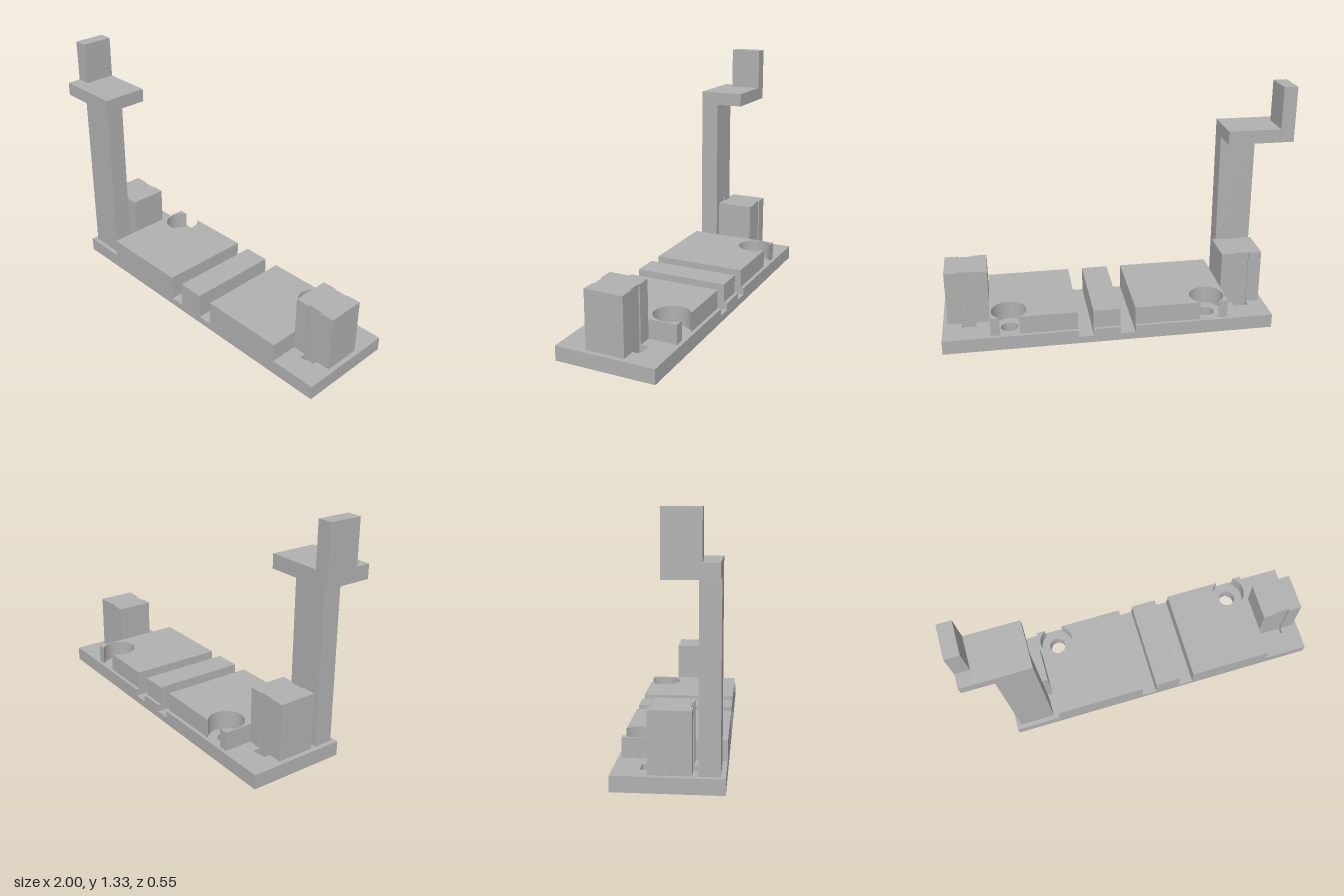
import * as THREE from 'three';

const HOLES = [-0.49, 0.63];        // screw hole centres in x
const HOLE_Z = -0.174;
const SLOTS = [[-0.753, -0.673], [0.812, 0.892]]; // clip slots in x

export function createModel() {
  const group = new THREE.Group();
  const grey = new THREE.MeshStandardMaterial({ color: 0xb0b0b0 });
  grey.name = 'grey plastic';

  const add = (name, geometry) => {
    const mesh = new THREE.Mesh(geometry, grey);
    mesh.name = name;
    group.add(mesh);
  };

  const box = (name, x0, x1, y0, y1, z0, z1) => {
    const g = new THREE.BoxGeometry(x1 - x0, y1 - y0, z1 - z0);
    g.translate((x0 + x1) / 2, (y0 + y1) / 2, (z0 + z1) / 2);
    add(name, g);
  };

  // Plan shapes are drawn in (x, -z) and raised from y0 to y1
  const slab = (name, shape, y0, y1) => {
    const g = new THREE.ExtrudeGeometry(shape, { depth: y1 - y0, bevelEnabled: false, curveSegments: 32 });
    g.rotateX(-Math.PI / 2);
    g.translate(0, y0, 0);
    add(name, g);
  };
  const polygon = (pts) => new THREE.Shape(pts.map(([x, z]) => new THREE.Vector2(x, -z)));
  const rect = (x0, x1, z0, z1) => polygon([[x0, z1], [x1, z1], [x1, z0], [x0, z0]]);
  const screwHole = (x) => new THREE.Path().absarc(x, -HOLE_Z, 0.047, 0, Math.PI * 2, true);

  // Base plate: solid floor, then an upper layer parted by two cross grooves
  const floor = rect(-0.855, 0.997, -0.275, 0.275);
  HOLES.forEach((x) => floor.holes.push(screwHole(x)));
  slab('baseFloor', floor, 0, 0.04);

  [[-0.855, -0.065], [0.255, 0.997]].forEach(([x0, x1], i) => {
    const layer = rect(x0, x1, -0.275, 0.275);
    const [s0, s1] = SLOTS[i];
    layer.holes.push(screwHole(HOLES[i]), rect(s0, s1, -0.14, -0.09), rect(s0, s1, 0.105, 0.15));
    slab('baseUpper', layer, 0.04, 0.08);
  });
  box('baseUpperMiddle', 0.02, 0.17, 0.04, 0.08, -0.275, 0.275);

  // Raised pads, the outer two bitten by open counterbores at the back
  const r = 0.097, edge = 0.255;
  const rise = edge + HOLE_Z;
  const half = Math.sqrt(r * r - rise * rise);
  const a = Math.atan2(rise, half);
  [[-0.595, -0.065], [0.255, 0.735]].forEach(([x0, x1], i) => {
    const s = new THREE.Shape();
    s.moveTo(x0, -0.275);
    s.lineTo(x1, -0.275);
    s.lineTo(x1, edge);
    s.lineTo(HOLES[i] + half, edge);
    s.absarc(HOLES[i], -HOLE_Z, r, a, Math.PI - a, true);
    s.lineTo(x0, edge);
    s.closePath();
    slab('raisedPad', s, 0.08, 0.185);
  });
  box('raisedPadMiddle', 0.02, 0.17, 0.08, 0.185, -0.255, 0.275);

  // End blocks with a shallow groove on front and back
  [[-0.828, -0.595], [0.735, 0.97]].forEach(([x0, x1], i) => {
    const [s0, s1] = SLOTS[i];
    slab('endBlock', polygon([
      [x0, 0.115], [s0, 0.115], [s0, 0.105], [s1, 0.105], [s1, 0.115], [x1, 0.115],
      [x1, -0.097], [s1, -0.097], [s1, -0.09], [s0, -0.09], [s0, -0.097], [x0, -0.097],
    ]), 0.08, 0.395);
  });

  // Tall post, its foot notched on the back
  const [n0, n1] = SLOTS[0];
  slab('postFoot', polygon([
    [-0.828, 0.25], [-0.625, 0.25], [-0.625, 0.145], [n1, 0.145],
    [n1, 0.15], [n0, 0.15], [n0, 0.145], [-0.828, 0.145],
  ]), 0.08, 0.395);
  box('post', -0.828, -0.625, 0.395, 1.022, 0.145, 0.25);

  // Platform and upright tab on top of the post
  box('platform', -1, -0.625, 1.022, 1.098, -0.01, 0.25);
  box('uprightTab', -1, -0.922, 1.098, 1.334, -0.01, 0.172);

  return group;
}
